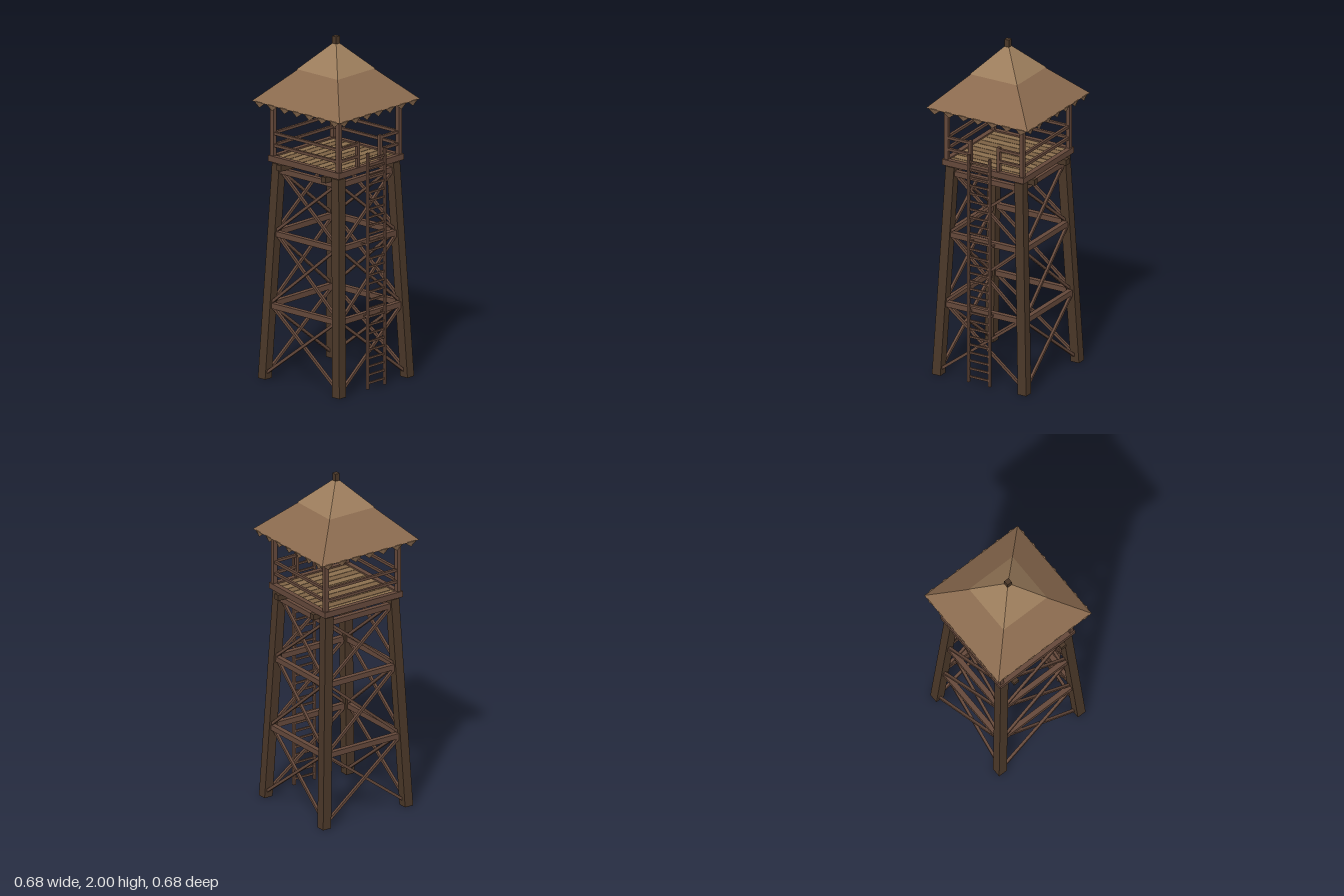
import * as THREE from 'three';

const mat = (color) => new THREE.MeshStandardMaterial({ color, flatShading: true });
const wood = mat(0x64483a);
const darkWood = mat(0x4a3728);
const plankMats = [mat(0x8b6f4e), mat(0x7c6144)];
const thatch = mat(0x8b6b4f);
const thatchTop = mat(0x9c7d5c);
thatch.side = thatchTop.side = THREE.DoubleSide;

function add(parent, name, geometry, material, x = 0, y = 0, z = 0) {
  const mesh = new THREE.Mesh(geometry, material);
  mesh.name = name;
  mesh.position.set(x, y, z);
  parent.add(mesh);
  return mesh;
}

const box = (parent, name, material, w, h, d, x, y, z) =>
  add(parent, name, new THREE.BoxGeometry(w, h, d), material, x, y, z);

// Square bar between two points
function bar(parent, name, material, a, b, size) {
  const from = new THREE.Vector3(...a), to = new THREE.Vector3(...b);
  const mid = from.clone().add(to).multiplyScalar(0.5);
  const mesh = box(parent, name, material, size, size, from.distanceTo(to), mid.x, mid.y, mid.z);
  mesh.lookAt(to);
  return mesh;
}

// Four copies of a side, turned around the tower; index 0 is the front
function fourSides(parent, name, build) {
  for (let i = 0; i < 4; i++) {
    const side = new THREE.Group();
    side.name = name;
    build(side, i);
    side.rotation.y = i * Math.PI / 2;
    parent.add(side);
  }
}

// Distance of a leg's centre from the axis at a height
const legAt = (y) => 0.283 - 0.0444 * y;

function buildFrame(parent) {
  // Leaning legs
  for (const sx of [-1, 1]) for (const sz of [-1, 1]) {
    const geo = new THREE.BoxGeometry(0.055, 1.26, 0.055).translate(0, 0.63, 0);
    const p = geo.attributes.position;
    for (let i = 0; i < p.count; i++) {
      const r = legAt(p.getY(i));
      p.setX(i, p.getX(i) + sx * r);
      p.setZ(i, p.getZ(i) + sz * r);
    }
    geo.computeVertexNormals();
    add(parent, 'leg', geo, darkWood);
  }

  // Cross beams and diagonal braces
  fourSides(parent, 'frameSide', (side) => {
    for (const y of [0.43, 0.85, 1.22]) {
      box(side, 'crossBeam', wood, 2 * legAt(y), 0.032, 0.03, 0, y, legAt(y));
    }
    for (const [y0, y1] of [[0.03, 0.43], [0.44, 0.85], [0.86, 1.22]]) {
      for (const s of [-1, 1]) {
        const r0 = legAt(y0), r1 = legAt(y1), offset = s * 0.006;
        bar(side, 'diagonalBrace', wood,
          [-s * (r0 - 0.01), y0, r0 + offset], [s * (r1 - 0.01), y1, r1 + offset], 0.016);
      }
    }
  });
}

function buildPlatform(parent) {
  for (const z of [-0.17, 0.17]) box(parent, 'joist', darkWood, 0.58, 0.034, 0.035, 0, 1.253, z);

  // Floor planks with narrow gaps
  const count = 10, pitch = 0.5 / count;
  for (let i = 0; i < count; i++) {
    box(parent, 'floorPlank', plankMats[i % 2], 0.5, 0.022, pitch - 0.004,
      0, 1.285, -0.25 + (i + 0.5) * pitch);
  }

  // Edge boards, corner posts and railings
  fourSides(parent, 'platformSide', (side, i) => {
    box(side, 'edgeBoard', wood, i % 2 ? 0.48 : 0.54, 0.035, 0.03, 0, 1.2875, 0.255);
    box(side, 'cornerPost', wood, 0.026, 0.39, 0.026, 0.249, 1.495, 0.249);
    box(side, 'eaveBeam', wood, 0.5, 0.024, 0.024, 0, 1.64, 0.249);
    for (const y of [1.365, 1.435]) {
      if (i > 0) {
        box(side, 'rail', wood, 0.49, 0.016, 0.016, 0, y, 0.249);
      } else {
        for (const s of [-1, 1]) box(side, 'rail', wood, 0.156, 0.016, 0.016, s * 0.171, y, 0.249);
      }
    }
  });

  // Posts beside the ladder opening
  for (const s of [-1, 1]) box(parent, 'gatePost', wood, 0.02, 0.15, 0.02, s * 0.093, 1.375, 0.249);
}

function buildLadder(parent) {
  const z = 0.307;
  for (const s of [-1, 1]) {
    box(parent, 'ladderRail', wood, 0.014, 1.385, 0.016, s * 0.07, 0.6975, z);
    for (const y of [0.43, 0.85]) {
      bar(parent, 'ladderBracket', wood, [s * 0.07, y, legAt(y)], [s * 0.07, y, z], 0.01);
    }
  }
  for (let i = 0; i < 28; i++) {
    box(parent, 'ladderRung', wood, 0.14, 0.011, 0.011, 0, 0.04 + i * 0.0485, z);
  }
}

// Hollow four-sided roof tier given by half widths
function roofTier(parent, name, material, top, bottom, y0, y1) {
  const geo = new THREE.CylinderGeometry(
    top * Math.SQRT2, bottom * Math.SQRT2, y1 - y0, 4, 1, true).rotateY(Math.PI / 4);
  add(parent, name, geo, material, 0, (y0 + y1) / 2, 0);
}

function buildRoof(parent) {
  roofTier(parent, 'lowerRoof', thatch, 0.148, 0.335, 1.625, 1.81);
  roofTier(parent, 'upperRoof', thatchTop, 0.012, 0.156, 1.807, 1.96);
  box(parent, 'finial', darkWood, 0.03, 0.06, 0.03, 0, 1.97, 0);

  // Hanging tufts along the eaves
  const tuft = new THREE.ConeGeometry(0.0475, 0.036, 4).rotateX(Math.PI).scale(1, 1, 0.3);
  fourSides(parent, 'eaveFringe', (side) => {
    for (let i = -3; i <= 3; i++) add(side, 'tuft', tuft, thatch, i * 0.095, 1.61, 0.326);
  });
}

export function createModel() {
  const model = new THREE.Group();
  model.name = 'watchtower';
  for (const [name, build] of Object.entries({
    frame: buildFrame, platform: buildPlatform, ladder: buildLadder, roof: buildRoof,
  })) {
    const group = new THREE.Group();
    group.name = name;
    build(group);
    model.add(group);
  }
  return model;
}
